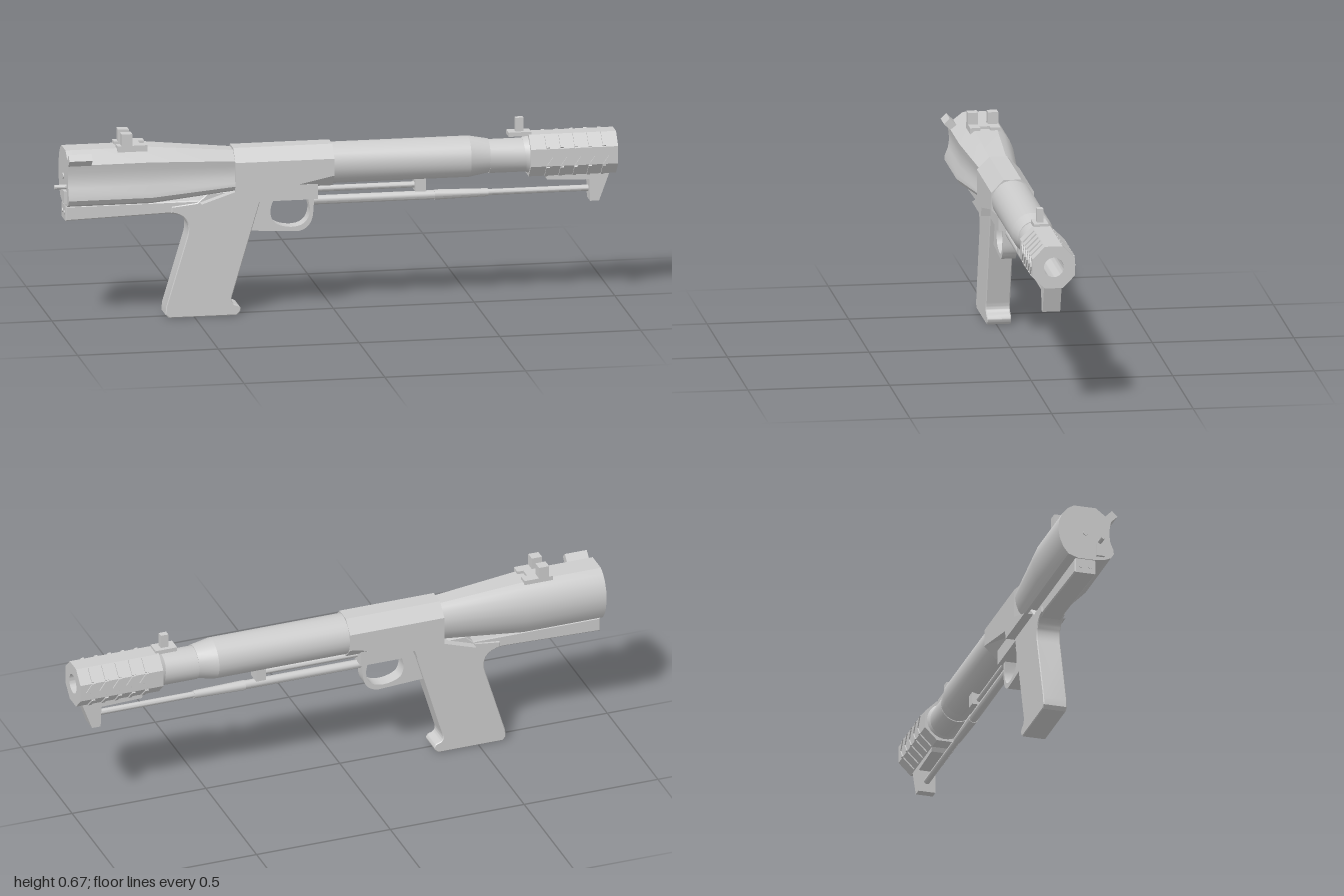
import * as THREE from 'three';
import { toCreasedNormals } from 'three/addons/utils/BufferGeometryUtils.js';

const MID = -0.008; // depth of the centre line
const AXIS = 0.525; // height of the bore

export function createModel() {
  const model = new THREE.Group();
  const metal = new THREE.MeshStandardMaterial({ color: 0xcccccc });
  metal.name = 'grey metal';

  function add(name, geometry, parent = model) {
    const mesh = new THREE.Mesh(toCreasedNormals(geometry, 0.5), metal);
    mesh.name = name;
    parent.add(mesh);
    return mesh;
  }
  // box given by its limits on each axis
  function box(name, x0, x1, y0, y1, z0, z1) {
    const g = new THREE.BoxGeometry(x1 - x0, y1 - y0, z1 - z0);
    g.translate((x0 + x1) / 2, (y0 + y1) / 2, (z0 + z1) / 2);
    return add(name, g);
  }
  // round or polygonal bar along x
  function rod(name, x0, x1, y, r0, r1 = r0, sides = 24, z = MID) {
    const g = new THREE.CylinderGeometry(r1, r0, x1 - x0, sides, 1, false, Math.PI / sides);
    g.rotateZ(-Math.PI / 2);
    g.translate((x0 + x1) / 2, y, z);
    return add(name, g);
  }
  const outline = (pts) => new THREE.Shape(pts.map(([x, y]) => new THREE.Vector2(x, y)));
  // side outline given thickness in z, with optional chamfer kept inside the outline
  function plate(name, shape, width, bevel = 0, z = MID, parent = model) {
    const g = new THREE.ExtrudeGeometry(shape, {
      depth: width - 2 * bevel, bevelEnabled: bevel > 0, bevelSize: bevel,
      bevelOffset: -bevel, bevelThickness: bevel, bevelSegments: 1, curveSegments: 10,
    });
    g.translate(0, 0, z - width / 2 + bevel);
    return add(name, g, parent);
  }
  // closed skin through equal rings of [z, y], scaled about the centre line
  function loft(name, ring, stations) {
    const pos = [], index = [], n = ring.length;
    for (const [x, s] of stations)
      for (const [z, y] of ring) pos.push(x, 0.52 + (y - 0.52) * s, MID + (z - MID) * s);
    for (let i = 0; i < stations.length - 1; i++)
      for (let j = 0; j < n; j++) {
        const k = (j + 1) % n, a = i * n + j, b = i * n + k;
        index.push(a, b, b + n, a, b + n, a + n);
      }
    const last = stations.length - 1, c = pos.length / 3;
    pos.push(stations[0][0], 0.52, MID, stations[last][0], 0.52, MID);
    for (let j = 0; j < n; j++) {
      const k = (j + 1) % n;
      index.push(c, k, j, c + 1, last * n + j, last * n + k);
    }
    const g = new THREE.BufferGeometry();
    g.setAttribute('position', new THREE.Float32BufferAttribute(pos, 3));
    g.setIndex(index);
    return add(name, g);
  }

  // rear housing: round at the back, hollowed on the front side
  loft('rearHousing', [
    [0.03, 0.62], [0.086, 0.577], [0.081, 0.55], [0.079, 0.525], [0.083, 0.495], [0.094, 0.468],
    [0.096, 0.452], [0.085, 0.435], [0.06, 0.424], [0.02, 0.42], [-0.035, 0.42], [-0.07, 0.432],
    [-0.09, 0.458], [-0.102, 0.49], [-0.108, 0.525], [-0.104, 0.555], [-0.091, 0.586], [-0.073, 0.607], [-0.05, 0.62],
  ], [[-0.957, 1], [-0.66, 1], [-0.36, 0.72]]);
  const lug = new THREE.BoxGeometry(0.082, 0.045, 0.028);
  lug.rotateX(Math.PI / 4);
  lug.translate(-0.916, 0.592, 0.083);
  add('rearLug', lug);
  rod('rearPin', -1, -0.95, 0.493, 0.008, 0.008, 12, 0.045);
  rod('rearButton', -0.961, -0.95, 0.52, 0.01, 0.01, 12);
  box('rearCatch', -0.968, -0.95, 0.435, 0.48, 0.03, 0.06);

  // receiver: octagonal sleeve with a side frame that rises toward the barrel
  const flat = Math.cos(Math.PI / 8);
  rod('receiver', -0.36, -0.008, AXIS, 0.075 / flat, 0.075 / flat, 8);
  plate('receiverFrame', outline([
    [-0.48, 0.412], [-0.26, 0.412], [-0.25, 0.445], [-0.015, 0.494], [-0.36, 0.494], [-0.36, 0.452],
  ]), 0.15);
  box('frameUnderside', -0.27, -0.06, 0.405, 0.46, -0.05, 0.034);

  // grip and the bar behind it
  plate('rearBar', outline([
    [-0.957, 0.365], [-0.59, 0.376], [-0.5, 0.36], [-0.42, 0.36], [-0.42, 0.435], [-0.47, 0.418], [-0.957, 0.418],
  ]), 0.078, 0.004);
  for (const z of [-0.025, 0.009]) rod('barStud', -0.96, -0.95, 0.392, 0.008, 0.008, 10, z);
  const grip = new THREE.Shape();
  grip.moveTo(-0.58, 0.378);
  grip.quadraticCurveTo(-0.505, 0.365, -0.525, 0.29);
  grip.lineTo(-0.6, 0.04);
  grip.lineTo(-0.602, 0.012);
  grip.lineTo(-0.59, 0);
  grip.lineTo(-0.35, 0);
  grip.quadraticCurveTo(-0.322, 0.02, -0.345, 0.036);
  grip.quadraticCurveTo(-0.376, 0.04, -0.364, 0.075);
  grip.lineTo(-0.255, 0.445);
  grip.lineTo(-0.45, 0.445);
  grip.lineTo(-0.49, 0.41);
  grip.lineTo(-0.58, 0.4);
  plate('grip', grip, 0.086, 0.003);

  // trigger guard
  const guard = new THREE.Shape();
  guard.moveTo(-0.302, 0.298);
  guard.lineTo(-0.13, 0.288);
  guard.quadraticCurveTo(-0.076, 0.296, -0.074, 0.36);
  guard.lineTo(-0.07, 0.42);
  guard.lineTo(-0.27, 0.42);
  const opening = new THREE.Path();
  opening.moveTo(-0.215, 0.405);
  opening.quadraticCurveTo(-0.238, 0.36, -0.215, 0.325);
  opening.quadraticCurveTo(-0.19, 0.306, -0.15, 0.305);
  opening.quadraticCurveTo(-0.086, 0.306, -0.086, 0.37);
  opening.lineTo(-0.093, 0.405);
  guard.holes.push(opening);
  plate('triggerGuard', guard, 0.05);

  // barrel
  rod('barrel', -0.01, 0.48, AXIS, 0.073);
  rod('barrelTaper', 0.48, 0.55, AXIS, 0.073, 0.06);
  rod('barrelNeck', 0.55, 0.68, 0.522, 0.06);
  rod('barrelCollar', 0.672, 0.695, AXIS, 0.058, 0.07);

  // octagonal muzzle brake, open along the bore
  const rim = [];
  for (let i = 0; i < 8; i++) {
    const a = (i + 0.5) * Math.PI / 4;
    rim.push([Math.cos(a) * 0.075 / flat, Math.sin(a) * 0.075 / flat]);
  }
  const brakeShape = outline(rim);
  brakeShape.holes.push(new THREE.Path().absarc(0, 0, 0.035, 0, Math.PI * 2, true));
  const brake = new THREE.ExtrudeGeometry(brakeShape, { depth: 0.31, bevelEnabled: false, curveSegments: 24 });
  brake.rotateY(Math.PI / 2);
  brake.translate(0.69, AXIS, MID);
  add('muzzleBrake', brake);
  const ribs = new THREE.Group();
  ribs.name = 'muzzleRibs';
  model.add(ribs);
  for (let i = 0; i < 5; i++) {
    const x = 0.745 + i * 0.05;
    for (const side of [-1, 1]) {
      plate('chevronRib', outline([
        [x, 0.494], [x + 0.012, 0.494], [x + 0.034, 0.525], [x + 0.012, 0.556], [x, 0.556], [x + 0.022, 0.525],
      ]), 0.006, 0, MID + side * 0.076, ribs);
      for (const up of [-1, 1]) {
        const g = new THREE.BoxGeometry(0.012, 0.056, 0.008);
        g.rotateX(-up * side * Math.PI / 4);
        g.translate(x + 0.006, AXIS + up * 0.0535, MID + side * 0.0535);
        add('bevelRib', g, ribs);
      }
    }
  }

  // rods under the barrel and their supports
  plate('frontBracket', outline([
    [0.755, 0.435], [0.905, 0.43], [0.908, 0.352], [0.94, 0.352], [0.978, 0.455], [0.745, 0.455],
  ]), 0.062);
  rod('lowerRodRear', -0.075, 0.365, 0.392, 0.016, 0.016, 16);
  rod('lowerRodMiddle', 0.36, 0.55, 0.392, 0.018, 0.014, 16);
  rod('lowerRodFront', 0.55, 0.915, 0.392, 0.011, 0.011, 16);
  rod('upperRod', -0.07, 0.3, 0.432, 0.011, 0.011, 16);
  box('rodClamp', 0.288, 0.325, 0.412, 0.475, -0.035, 0.019);

  // rear sight: two posts on a bridged base
  box('rearSightBridge', -0.745, -0.69, 0.608, 0.63, -0.026, 0.011);
  for (const [z0, z1] of [[0.01, 0.046], [-0.061, -0.025]]) {
    box('rearSightBase', -0.775, -0.668, 0.608, 0.63, z0, z1);
    box('rearSightPost', -0.76, -0.722, 0.62, 0.672, z0, z1);
  }
  // front sight
  box('frontSightBase', 0.62, 0.7, 0.594, 0.609, -0.033, 0.018);
  box('frontSightPost', 0.647, 0.675, 0.6, 0.658, -0.018, 0.004);

  return model;
}
